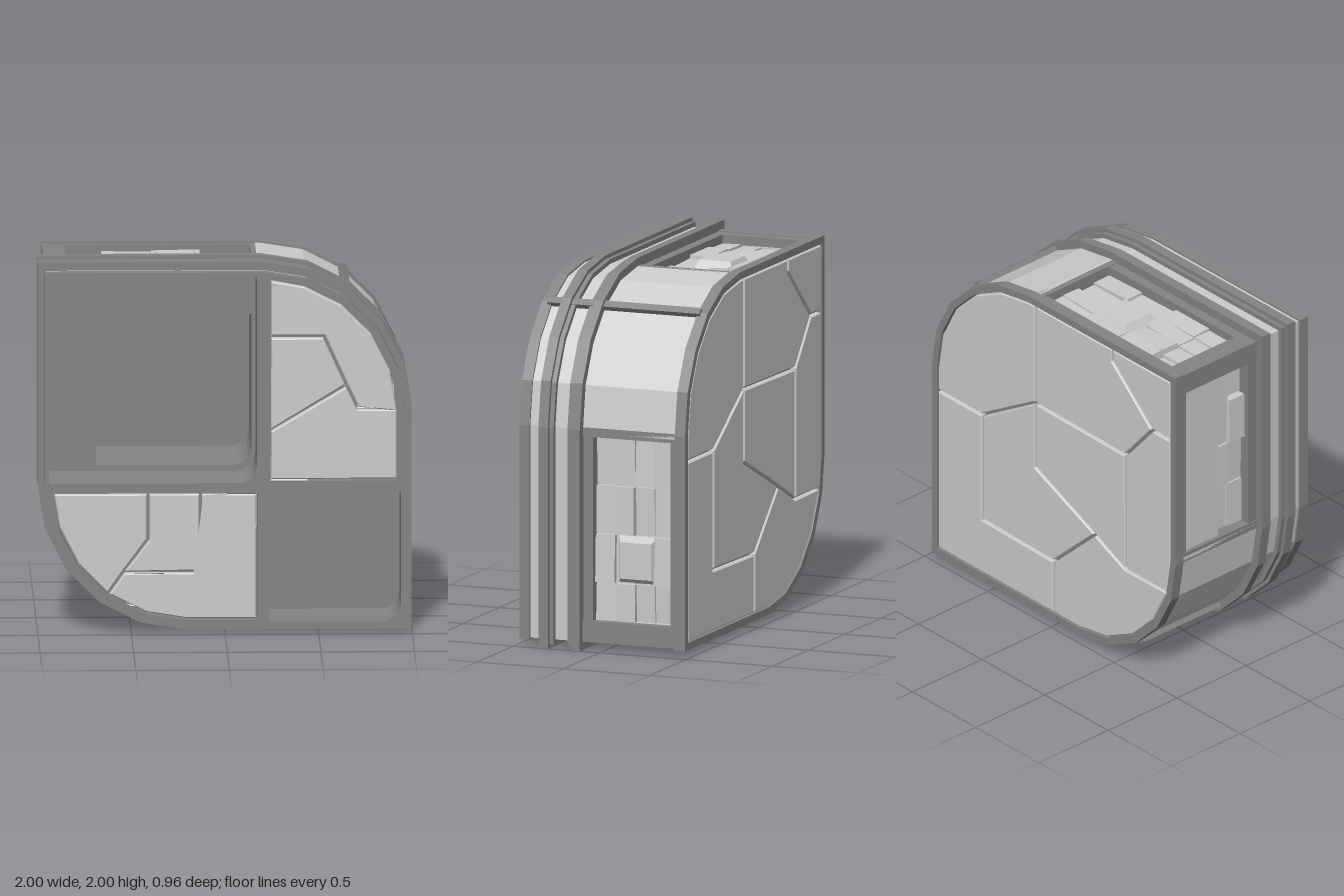
import * as THREE from 'three';

const light = new THREE.MeshStandardMaterial({ color: 0xcccccc, flatShading: true });
const dark = new THREE.MeshStandardMaterial({ color: 0x848484, flatShading: true });

let seed = 7;
const rand = () => (seed = (seed * 16807) % 2147483647) / 2147483647;
const V = (x, y) => new THREE.Vector2(x, y);
const pts = (list) => list.map(([x, y]) => V(x, y));

// Faceted arc: 18 degree steps, i0..i1
const arc = (cx, cy, r, i0, i1) => {
  const out = [];
  for (let i = i0; i <= i1; i++) {
    const a = i * Math.PI / 10;
    out.push([cx + r * Math.cos(a), cy + r * Math.sin(a)]);
  }
  return out;
};
const upperArc = (d, i0 = 0, i1 = 5) => arc(0.2, 1.2, 0.8 - d, i0, i1);
const lowerArc = (d, i0 = 10, i1 = 15) => arc(-0.2, 0.8, 0.8 - d, i0, i1);

// Square with two opposite rounded corners, inset by d
const outline = (d) => pts([...upperArc(d), [-1 + d, 2 - d], ...lowerArc(d), [1 - d, d]]);

// Rectangle with rounded top-left and bottom-right corners
const pocket = (x0, y0, x1, y1, r = 0.1) => {
  const corner = (cx, cy, a0) => [0, 1, 2, 3, 4, 5].map((i) => {
    const a = a0 + i * Math.PI / 10;
    return [cx + r * Math.cos(a), cy + r * Math.sin(a)];
  });
  return pts([[x0, y0], ...corner(x1 - r, y0 + r, -Math.PI / 2), [x1, y1], ...corner(x0 + r, y1 - r, Math.PI / 2)]);
};

function slab(name, contour, holes, z0, z1, mat, bevel) {
  const shape = new THREE.Shape(contour);
  holes.forEach((h) => shape.holes.push(new THREE.Path(h)));
  const b = bevel ? 0.006 : 0;
  const geo = new THREE.ExtrudeGeometry(shape, {
    depth: z1 - z0 - 2 * b, bevelEnabled: !!bevel, bevelSize: b, bevelThickness: b,
    bevelOffset: -b - 0.008, bevelSegments: 1,
  });
  geo.translate(0, 0, z0 + b);
  const m = new THREE.Mesh(geo, mat);
  m.name = name;
  return m;
}

function box(name, w, h, d, x, y, z, mat) {
  const m = new THREE.Mesh(new THREE.BoxGeometry(w, h, d), mat);
  m.position.set(x, y, z);
  m.name = name;
  return m;
}

// Sunken bank of uneven blocks: x along the length, y outwards
function blockBank(name, x, y, turn, tilt, withSlab) {
  const g = new THREE.Group();
  g.name = name;
  const cw = 0.265, cd = 0.1125;
  for (let i = 0; i < 4; i++) {
    for (let j = 0; j < 4; j++) {
      const h = 0.04 + 0.045 * rand();
      const b = box('block', cw - 0.004, h, cd - 0.003, (i - 1.5) * cw, h / 2, -0.165 + (j - 1.5) * cd, light);
      b.rotation.set((rand() - 0.5) * tilt, 0, (rand() - 0.5) * tilt);
      g.add(b);
    }
  }
  for (const s of [-1, 1]) g.add(box('endBar', 0.05, 0.115, 0.54, s * 0.555, 0.0575, -0.15, dark));
  g.add(box('backBar', 1.1, 0.11, 0.035, 0, 0.055, -0.4075, dark));
  if (withSlab) {
    g.add(box('coverSlab', 1.04, 0.1, 0.23, 0, 0.055, -0.27, light));
  } else {
    const cap = new THREE.Mesh(new THREE.CylinderGeometry(0.14, 0.18, 0.05, 4, 1).rotateY(Math.PI / 4), light);
    cap.position.set(0.13, 0.08, -0.185);
    cap.scale.z = 0.9;
    cap.name = 'raisedCap';
    g.add(cap);
  }
  g.position.set(x, y, 0);
  g.rotation.z = turn;
  return g;
}

export function createModel() {
  const model = new THREE.Group();
  const add = (...m) => model.add(...m);

  // Open compartments
  const large = pocket(-0.94, 0.82, 0.17, 1.94);
  const small = pocket(0.235, 0.065, 0.94, 0.77);
  const inner = pocket(-0.68, 0.85, 0.15, 1.67);
  const innerOuter = pocket(-0.7, 0.835, 0.165, 1.69);

  // Front casing
  const upperField = pts([[0.24, 0.83], [0.925, 0.83], ...upperArc(0.075), [0.24, 1.925]].filter(([x]) => x > 0.21));
  const lowerField = pts([[-0.92, 0.765], ...lowerArc(0.075, 11, 15), [0.175, 0.075], [0.175, 0.765]]);
  add(slab('frontFrame', outline(0.035), [large, small, upperField, lowerField], 0.42, 0.48, dark));
  add(slab('frontCore', outline(0.05), [large, small], 0.12, 0.42, dark));
  add(slab('compartmentBack', outline(0.05), [inner], 0.06, 0.12, dark));
  add(slab('innerCompartment', innerOuter, [inner], -0.42, 0.1, dark));
  add(box('compartmentRib', 0.03, 0.26, 0.02, -0.215, 1.81, 0.125, dark));
  add(box('ribFoot', 0.03, 0.025, 0.05, -0.215, 1.69, 0.14, dark));

  // Outer bands and stepped flanges
  const rings = [
    ['lightBand', 0.045, 0.19, 0.42, light], ['flangeStep', 0.02, 0.275, 0.3, dark],
    ['frontFlange', 0, 0.3, 0.355, dark], ['flangeStep', 0.02, 0.165, 0.195, dark],
    ['middleFlange', 0, 0.115, 0.165, dark], ['backFlange', 0.035, -0.48, -0.42, dark],
  ];
  for (const [name, d, z0, z1, mat] of rings) {
    add(slab(name, outline(d), [outline(name === 'backFlange' ? 0.075 : 0.05)], z0, z1, mat));
  }

  // Rear body, notched on the four flat sides
  const body = pts([
    ...upperArc(0.045), [0.18, 1.955], [0.18, 1.84], [-0.84, 1.84], [-0.84, 0.82], [-0.955, 0.82],
    ...lowerArc(0.045), [-0.18, 0.045], [-0.18, 0.16], [0.84, 0.16], [0.84, 1.18], [0.955, 1.18],
  ]);
  add(slab('rearBody', body, [innerOuter], -0.42, 0.115, light));
  add(slab('backPlate', outline(0.06), [], -0.445, -0.42, dark));

  // Cross bars on the rounded corners
  for (const s of [1, -1]) {
    const a = 0.3 * Math.PI;
    const bar = box('cornerBar', 0.05, 0.045, 0.88, s * (0.2 + 0.755 * Math.cos(a)), 1 + s * (0.2 + 0.755 * Math.sin(a)), 0, dark);
    bar.rotation.z = a;
    add(bar);
  }

  // Block banks around the sides
  add(blockBank('topBlocks', -0.38, 1.84, 0, 0.12));
  add(blockBank('leftBlocks', 0.84, 0.63, -Math.PI / 2, 0.12));
  add(blockBank('bottomBlocks', 0.38, 0.16, Math.PI, 0.03));
  add(blockBank('rightBlocks', -0.84, 1.37, Math.PI / 2, 0.05, true));

  // Front panels with finger recesses
  const fingerHole = (x, y) => pts([[x, y], [x + 0.17, y], [x + 0.17, y + 0.15], [x + 0.035, y + 0.15], [x, y + 0.115]]);
  const frontPanels = [
    [[[0.24, 1.61], [0.53, 1.61], [0.65, 1.345], [0.71, 1.22], ...upperArc(0.075, 0, 4), [0.24, 1.92]], [0.718, 1.236]],
    [[[0.24, 1.1], [0.65, 1.345], [0.53, 1.61], [0.24, 1.61]], null],
    [[[0.24, 0.83], [0.925, 0.83], [0.925, 1.22], [0.71, 1.22], [0.65, 1.345], [0.24, 1.1]], [0.256, 0.845]],
    [[[-0.92, 0.765], ...lowerArc(0.075, 11, 13), [-0.54, 0.335], [-0.41, 0.51], [-0.41, 0.765]], null],
    [[[-0.41, 0.51], [-0.54, 0.335], [-0.13, 0.335], [-0.13, 0.765], [-0.41, 0.765]], null],
    [[...lowerArc(0.075, 13, 15), [0.175, 0.075], [0.175, 0.765], [-0.13, 0.765], [-0.13, 0.335], [-0.54, 0.335]], [-0.015, 0.6, -0.51, 0.165]],
  ];
  for (const [poly, grips] of frontPanels) {
    const holes = [];
    for (let i = 0; grips && i < grips.length; i += 2) {
      const x = grips[i], y = grips[i + 1];
      holes.push(fingerHole(x, y));
      const floor = box('gripFloor', 0.16, 0.145, 0.008, x + 0.085, y + 0.075, 0.437, light);
      floor.rotation.x = -0.15;
      add(floor, box('gripTab', 0.06, 0.03, 0.02, x + 0.135, y + 0.125, 0.452, light));
    }
    add(slab('frontPanel', pts(poly), holes, 0.415, 0.468, light, true));
  }

  // Back panels, cut along shared corner points
  const e = 0.925, top = 1.925;
  const P = {
    a: [0.146, top], b: [0.146, 1.32], c: [0.566, 1.06], d: [e, 1.06], f: [0.566, 0.41], g: [0, 0.4], h: [0, 0.075],
    i: [-0.326, 0.71], j: [0.146, 0.92], k: [-0.566, 0.6], l: [-e + 0.02, 0.6], m: [-0.566, 1.31], n: [-0.78, 1.56],
    o: [-e, 1.56], p: [-0.463, 1.85], q: [-0.463, top], r: [e, 0.075], s: [-e, top], t: [-e, 0.8],
  };
  const cell = (keys) => [...keys].map((k) => P[k]);
  const backPanels = [
    [...upperArc(0.075), ...cell('abcd')], cell('dcfghr'), cell('bcfgij'), cell('bjikm'),
    cell('abmnpq'), cell('qpnos'), cell('onmklt'), [...lowerArc(0.075, 11, 15), ...cell('hgikl')],
  ];
  for (const poly of backPanels) add(slab('backPanel', pts(poly), [], -0.478, -0.44, light, true));

  return model;
}
